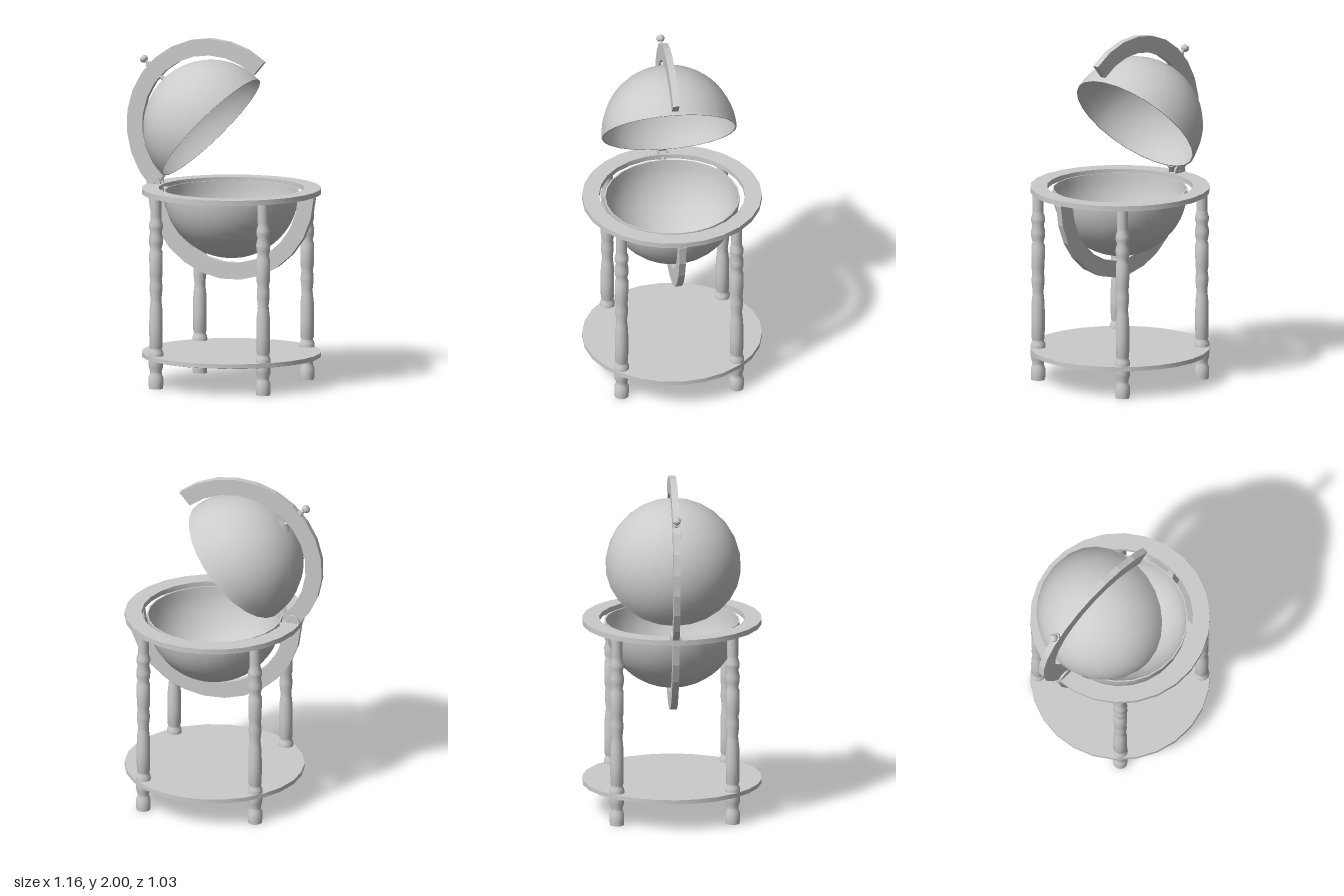
import * as THREE from 'three';
import { toCreasedNormals } from 'three/addons/utils/BufferGeometryUtils.js';

const CX = 0.0625, RING_Y = 1.125;      // axis of the stand, mid height of the ring
const R_OUT = 0.517, R_IN = 0.42;       // ring and meridian radii
const R_GLOBE = 0.39, WALL = 0.008;
const SIDES = 26;
const OPEN = THREE.MathUtils.degToRad(48); // how far the lid is swung open

const material = new THREE.MeshStandardMaterial({ color: 0xcccccc, side: THREE.DoubleSide });

function add(parent, name, geometry, x = 0, y = 0, z = 0) {
  const mesh = new THREE.Mesh(geometry, material);
  mesh.name = name;
  mesh.position.set(x, y, z);
  parent.add(mesh);
  return mesh;
}

// Turned part from [radius, height] pairs, keeping sharp edges
function turned(points, sides = SIDES, crease = 0.6) {
  const profile = points.map(([r, y]) => new THREE.Vector2(r, y));
  return toCreasedNormals(new THREE.LatheGeometry(profile, sides, Math.PI / 2), crease);
}

// Thin hollow half sphere, from angle a0 to a1 of its section
function shell(a0, a1) {
  const points = [];
  const steps = 14;
  const arc = (r, from, to) => {
    for (let i = 0; i <= steps; i++) {
      const a = from + (to - from) * i / steps;
      points.push([Math.max(0, r * Math.cos(a)), r * Math.sin(a)]);
    }
  };
  arc(R_GLOBE, a0, a1);
  arc(R_GLOBE - WALL, a1, a0);
  points.push(points[0]);
  return turned(points);
}

// Flat half-ring bar in the xy plane, its ends resting on the horizontal ring
function meridian(start) {
  const gap = 0.033, steps = SIDES / 2, outline = [];
  const arc = (r, from, to) => {
    for (let i = 0; i <= steps; i++) {
      const a = from + (to - from) * i / steps;
      outline.push(new THREE.Vector2(r * Math.cos(a), r * Math.sin(a)));
    }
  };
  const a0 = start + gap, a1 = start + Math.PI - gap;
  arc(R_OUT, a0, a1);
  arc(R_IN, a1, a0);
  const bar = new THREE.ExtrudeGeometry(new THREE.Shape(outline), { depth: 0.038, bevelEnabled: false });
  return bar.translate(0, 0, -0.019);
}

export function createModel() {
  const model = new THREE.Group();
  model.name = 'globeCabinet';

  // Stand: ring, shelf and four turned legs
  const stand = new THREE.Group();
  stand.name = 'stand';
  stand.position.x = CX;
  model.add(stand);

  add(stand, 'ring', turned([
    [R_IN, 1.11], [R_OUT, 1.11], [R_OUT, 1.14], [R_IN, 1.14], [R_IN, 1.11],
  ]));
  add(stand, 'shelf', turned([
    [0, 0.122], [0.505, 0.162], [R_OUT, 0.165], [R_OUT, 0.19], [0, 0.19],
  ]));

  const leg = turned([
    [0, 0], [0.04, 0], [0.042, 0.02], [0.042, 0.065], [0.034, 0.085], [0.033, 0.1],
    [0.041, 0.125], [0.043, 0.15], [0.043, 0.2], [0.041, 0.215], [0.033, 0.232],
    [0.038, 0.245], [0.039, 0.35], [0.038, 0.45], [0.033, 0.495], [0.031, 0.52],
    [0.037, 0.57], [0.037, 0.6], [0.033, 0.635], [0.038, 0.66], [0.039, 0.79],
    [0.032, 0.81], [0.039, 0.84], [0.041, 0.875], [0.033, 0.91], [0.04, 0.935],
    [0.04, 0.955], [0.031, 0.985], [0.032, 1.0], [0.032, 1.112], [0, 1.112],
  ], 16, 0.8);
  for (const x of [-1, 1])
    for (const z of [-1, 1])
      add(stand, 'leg', leg, x * 0.333, 0, z * 0.333);

  // Fixed lower half of the globe
  const base = new THREE.Group();
  base.name = 'lowerGlobe';
  base.position.set(CX, RING_Y, 0);
  model.add(base);
  add(base, 'bowl', shell(-Math.PI / 2, 0));
  add(base, 'lowerMeridian', meridian(Math.PI));

  // Swung-open upper half
  const lid = new THREE.Group();
  lid.name = 'upperGlobe';
  lid.position.set(-0.065, 1.483, 0);
  lid.rotation.z = OPEN;
  model.add(lid);
  add(lid, 'dome', shell(0, Math.PI / 2));
  add(lid, 'upperMeridian', meridian(0));
  add(lid, 'poleCap', turned([[0.055, 0.384], [0.03, 0.392], [0.014, 0.396], [0, 0.396]], 16, 1));
  add(lid, 'poleSpindle', new THREE.CylinderGeometry(0.012, 0.012, 0.04, 12), 0, 0.408, 0);
  add(lid, 'poleKnob', turned([
    [0.018, 0.51], [0.018, 0.524], [0.011, 0.528], [0.01, 0.542], [0.018, 0.546],
    [0.024, 0.556], [0.024, 0.566], [0.017, 0.577], [0, 0.581],
  ], 12, 0.8));

  // Hinge knuckles and their pin where the lid meets the ring
  const hinge = new THREE.Group();
  hinge.name = 'hinge';
  hinge.position.set(-0.41, 1.145, 0);
  model.add(hinge);
  for (const z of [-1, 1]) {
    const knuckle = add(hinge, 'hingeKnuckle', new THREE.CylinderGeometry(0.042, 0.042, 0.012, 16), 0, 0, z * 0.026);
    knuckle.rotation.x = Math.PI / 2;
  }
  const pin = add(hinge, 'hingePin', new THREE.CylinderGeometry(0.01, 0.01, 0.07, 12));
  pin.rotation.x = Math.PI / 2;

  // Small pivots joining the bowl and dome rims to their supports
  const pivot = new THREE.CylinderGeometry(0.01, 0.01, 0.045, 10).rotateZ(Math.PI / 2);
  add(base, 'bowlPivot', pivot, -0.405, -0.012, 0);

  return model;
}
